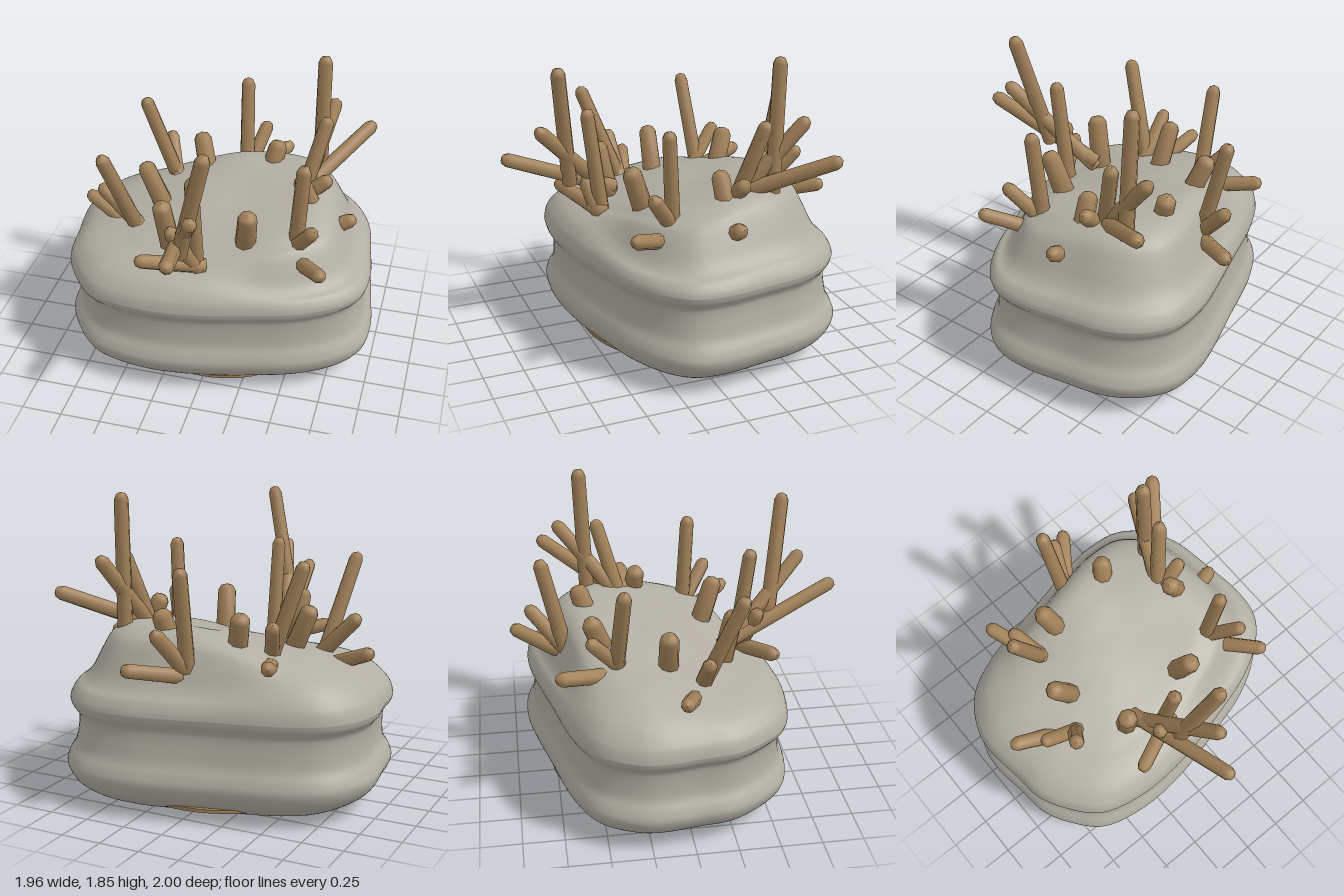
import * as THREE from 'three';

const stone = new THREE.MeshStandardMaterial({ color: 0xb2aea3 });
stone.name = 'stone grey';
const wood = new THREE.MeshStandardMaterial({ color: 0xa3835a });
wood.name = 'wood brown';

// Plan outline of the block, as [x, z]
const OUTLINE = [
  [-0.98, -0.19], [-0.96, -0.34], [-0.84, -0.555], [-0.6, -0.69], [-0.18, -0.8], [0.14, -0.88],
  [0.35, -0.915], [0.61, -0.89], [0.79, -0.755], [0.895, -0.565], [0.945, -0.29], [0.98, -0.03],
  [0.955, 0.17], [0.84, 0.315], [0.61, 0.45], [0.35, 0.53], [-0.07, 0.625], [-0.4, 0.64],
  [-0.68, 0.57], [-0.83, 0.415], [-0.925, 0.24], [-0.95, 0.05],
];
const CZ = -0.14;
const smooth = THREE.MathUtils.smoothstep;
const lerp = THREE.MathUtils.lerp;

// Piecewise-linear lookup in [position, value] pairs
function lookup(table, t) {
  for (let i = 1; i < table.length; i++) {
    const [a, va] = table[i - 1], [b, vb] = table[i];
    if (t <= b) return lerp(va, vb, (t - a) / (b - a));
  }
  return table[table.length - 1][1];
}

// Smoothed curve through profile points
function curve(points, n) {
  return new THREE.SplineCurve(points.map(p => new THREE.Vector2(...p))).getPoints(n);
}

// Height of the upper surface: gentle slope on the left, raised mound at the back right
const SLOPE = curve([[0, 1.02], [0.15, 1.01], [0.35, 0.98], [0.61, 0.93], [0.77, 0.87], [0.89, 0.8], [0.965, 0.72], [0.99, 0.67], [1, 0.625]], 80).map(p => [p.x, p.y]);
const MOUND = curve([[0, 1.04], [0.15, 1.045], [0.35, 1.065], [0.58, 1.075], [0.72, 1.02], [0.79, 0.92], [0.85, 0.81], [0.9, 0.75], [0.955, 0.71], [0.99, 0.66], [1, 0.625]], 100).map(p => [p.x, p.y]);
function topHeight(s, x, z) {
  const w = smooth(x * 0.85 - z * 0.5, -0.3, 0.35);
  const drop = (0.07 + 0.04 * w) * smooth(z, -0.4, 0.3) * Math.min(1, (1 - s) * 3);
  return lerp(lookup(SLOPE, s), lookup(MOUND, s), w) - drop;
}

// Block: rings from the underside, up the two bulging bands, then in over the top
function blockGeometry() {
  const loop = new THREE.CatmullRomCurve3(OUTLINE.map(([x, z]) => new THREE.Vector3(x, 0, z)), true);
  const n = 96;
  const plan = loop.getPoints(n).slice(0, n);
  const side = curve([[0.001, 0], [0.4, 0.006], [0.7, 0.028], [0.8, 0.045], [0.89, 0.085], [0.965, 0.145],
    [1, 0.22], [0.985, 0.28], [0.947, 0.35], [0.938, 0.44], [0.943, 0.52], [0.962, 0.556], [0.988, 0.588], [1, 0.625]], 70);
  const rings = side.map(p => ({ s: p.x, y: p.y }));
  for (let i = 1; i <= 48; i++) rings.push({ s: Math.max(0.001, Math.cos((i / 48) * Math.PI / 2)), top: true });
  const pos = [], index = [];
  rings.forEach(({ s, y, top }, i) => {
    const upper = 1 - 0.03 * smooth(top ? 1 : y, 0.3, 0.6);
    plan.forEach((p, j) => {
      const x = p.x * s * (p.x > 0 ? upper : 1);
      const z = CZ + (p.z - CZ) * s * (p.z < CZ ? upper : 1);
      pos.push(x, top ? topHeight(s, x, z) : y, z);
      if (i === rings.length - 1) return;
      const a = i * n + j, b = i * n + (j + 1) % n;
      index.push(b, a, a + n, b, a + n, b + n);
    });
  });
  const g = new THREE.BufferGeometry();
  g.setAttribute('position', new THREE.Float32BufferAttribute(pos, 3));
  g.setIndex(index);
  g.computeVertexNormals();
  return g;
}

// Peg: eight-sided rod with a rounded tip, from base to tip
function peg(base, tip, r = 0.046) {
  const a = new THREE.Vector3(...base), b = new THREE.Vector3(...tip);
  const dir = b.clone().sub(a).normalize();
  a.addScaledVector(dir, -0.06);
  const L = a.distanceTo(b) + 0.022;
  const profile = [[0, 0], [r * 1.06, 0], [r * 0.96, L - 0.045], [r * 0.65, L - 0.013], [0, L]];
  const m = new THREE.Mesh(new THREE.LatheGeometry(profile.map(p => new THREE.Vector2(...p)), 8), wood);
  m.position.copy(a);
  m.quaternion.setFromUnitVectors(new THREE.Vector3(0, 1, 0), dir);
  m.name = 'peg';
  return m;
}

// Clusters of pegs: a list of [base, tip, radius]
const CLUSTERS = {
  backPegs: [
    [[-0.01, 0.82, -0.61], [0.24, 0.92, -0.97]],
    [[0, 0.82, -0.62], [0.1, 1.12, -0.87]],
    [[0.01, 0.82, -0.65], [-0.02, 1.47, -0.79]],
  ],
  backLeftSidePegs: [
    [[-0.37, 0.88, -0.33], [-0.53, 0.96, -0.73]],
    [[-0.37, 0.9, -0.33], [-0.47, 1.15, -0.54]],
    [[-0.38, 0.9, -0.39], [-0.575, 1.48, -0.35]],
  ],
  backRightSidePegs: [
    [[0.45, 1.02, -0.27], [0.81, 1.28, -0.76]],
    [[0.46, 1, -0.28], [0.58, 1.47, -0.66]],
    [[0.46, 1, -0.28], [0.57, 1.47, -0.41]],
    [[0.53, 1, -0.48], [0.52, 1.83, -0.51]],
    [[0.46, 1, -0.24], [0.62, 1.14, -0.26], 0.05],
    [[0.54, 0.98, -0.18], [0.46, 1.17, -0.17], 0.06],
    [[0.65, 0.86, -0.14], [0.8, 0.94, -0.16], 0.05],
  ],
  frontRightSidePegs: [
    [[0.5, 0.81, 0.16], [0.71, 0.93, 0.45]],
    [[0.48, 0.86, 0.12], [0.63, 1.13, 0.31]],
    [[0.5, 0.87, 0.14], [0.54, 1.47, 0.18]],
  ],
  frontPegs: [
    [[-0.09, 1.08, 0.58], [0.08, 1.77, 0.68]],
    [[-0.18, 0.93, 0.32], [0.03, 1.41, 0.79]],
    [[-0.18, 0.95, 0.32], [-0.05, 1.24, 0.98]],
    [[-0.05, 0.85, 0.42], [-0.36, 0.93, 0.57]],
    [[-0.05, 0.85, 0.42], [-0.18, 1.13, 0.5]],
    [[-0.05, 0.85, 0.39], [-0.05, 1.47, 0.47]],
  ],
  leftSidePegs: [
    [[-0.68, 0.85, 0.02], [-0.87, 0.93, -0.04]],
    [[-0.4, 0.92, -0.08], [-0.51, 1.17, -0.09], 0.06],
    [[-0.52, 0.88, 0.11], [-0.73, 1.1, 0.11]],
    [[-0.52, 0.86, 0.11], [-0.64, 1.44, 0.32]],
  ],
  shortPegs: [
    [[-0.19, 0.92, -0.43], [-0.26, 1.18, -0.52], 0.062],
    [[0.2, 0.98, -0.5], [0.24, 1.17, -0.56], 0.062],
    [[0.21, 0.93, 0.22], [0.24, 1.17, 0.3], 0.062],
    [[-0.25, 0.9, 0.28], [-0.28, 1.18, 0.33], 0.062],
  ],
};

export function createModel() {
  const model = new THREE.Group();
  const block = new THREE.Mesh(blockGeometry(), stone);
  block.name = 'block';
  model.add(block);

  for (const [name, list] of Object.entries(CLUSTERS)) {
    const group = new THREE.Group();
    group.name = name;
    list.forEach(([base, tip, r]) => group.add(peg(base, tip, r)));
    model.add(group);
  }

  // Thin disc set in the block, its rim peeking out low at the front and back
  const disc = new THREE.Mesh(new THREE.CylinderGeometry(0.655, 0.655, 0.02, 64), wood);
  disc.position.set(0.012, 0.08, -0.128);
  disc.name = 'innerDisc';
  model.add(disc);
  return model;
}
